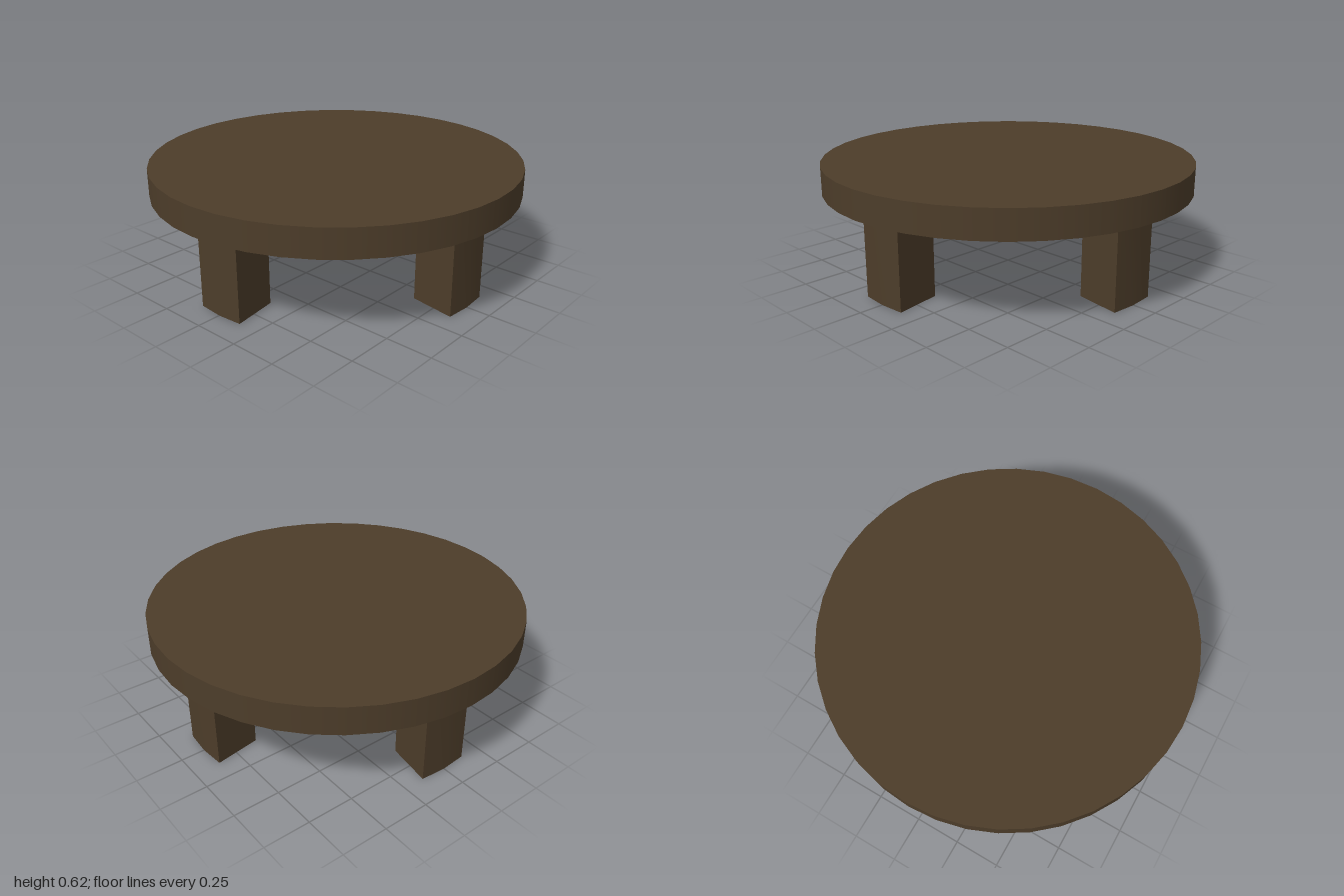
import * as THREE from 'three';
import { toCreasedNormals } from 'three/addons/utils/BufferGeometryUtils.js';

const TOP = 0.615, UNDERSIDE = 0.465;
const LEG_OUTER = 0.872, LEG_INNER = 0.625;
const STEP = Math.PI / 20; // one side of the 40-sided top

// Leg: a short ring sector, two sides wide, standing on the ground
function legGeometry() {
  const at = (r, i) => new THREE.Vector2(r * Math.cos(i * STEP), r * Math.sin(i * STEP));
  const outline = [
    ...[-1, 0, 1].map(i => at(LEG_OUTER, i)),
    ...[1, 0, -1].map(i => at(LEG_INNER, i)),
  ];
  const geometry = new THREE.ExtrudeGeometry(new THREE.Shape(outline), {
    depth: UNDERSIDE, bevelEnabled: false,
  });
  geometry.rotateX(-Math.PI / 2);
  return toCreasedNormals(geometry, 0.5);
}

export function createModel() {
  const group = new THREE.Group();
  group.name = 'roundTable';
  const wood = new THREE.MeshStandardMaterial({ color: 0x4d3d2a });

  // Round table top
  const top = new THREE.Mesh(new THREE.CylinderGeometry(1, 1, TOP - UNDERSIDE, 40), wood);
  top.name = 'tableTop';
  top.position.y = (TOP + UNDERSIDE) / 2;
  group.add(top);

  // Four legs, a quarter turn apart
  const geometry = legGeometry();
  ['leftLeg', 'backLeg', 'rightLeg', 'frontLeg'].forEach((name, i) => {
    const leg = new THREE.Mesh(geometry, wood);
    leg.name = name;
    leg.rotation.y = i * Math.PI / 2;
    group.add(leg);
  });
  return group;
}
